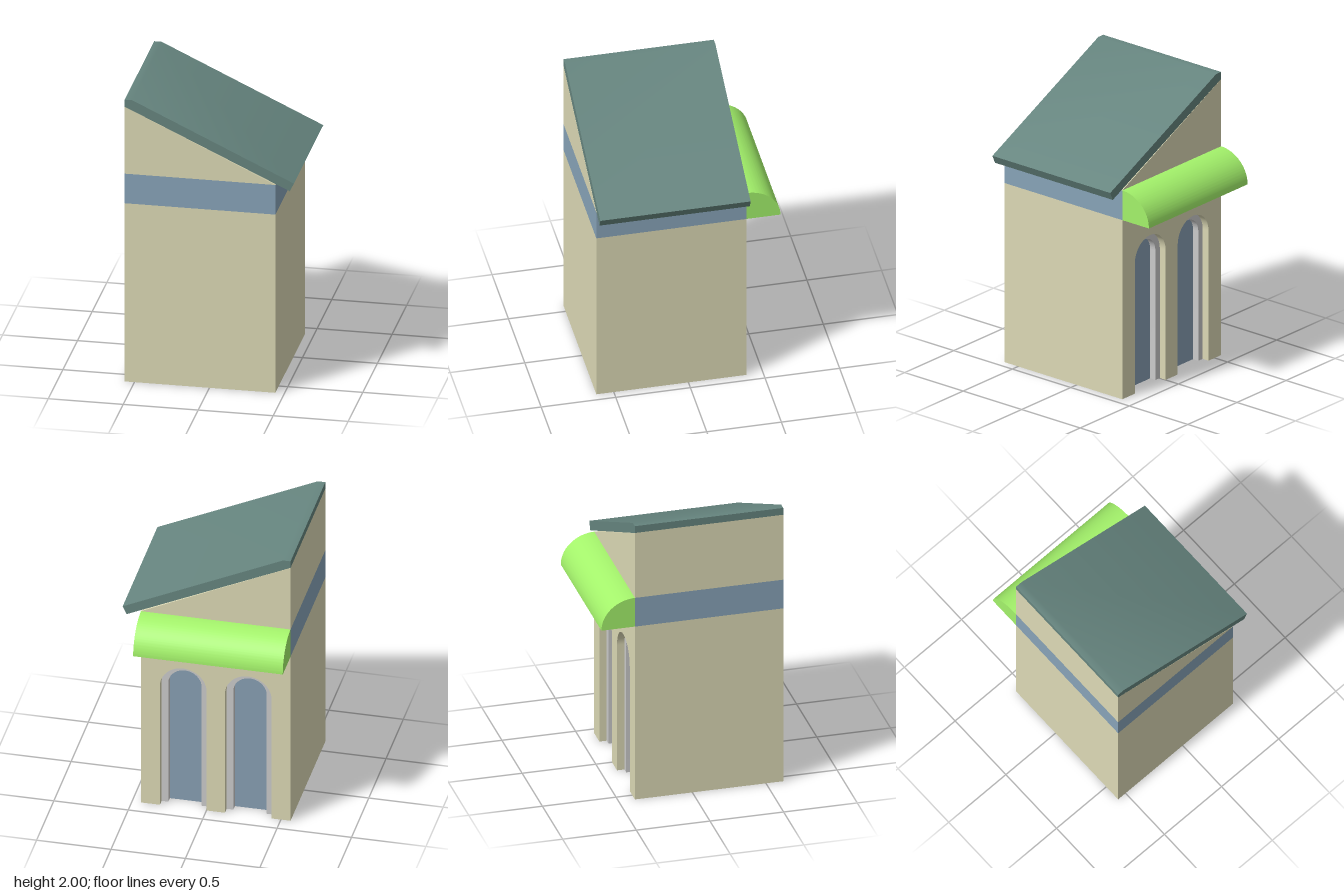
import * as THREE from 'three';
import { toCreasedNormals } from 'three/addons/utils/BufferGeometryUtils.js';

const X0 = -0.565, X1 = 0.44;            // side walls
const BACK = -0.39, FRONT = 0.617;       // back and front walls
const BAND_LOW = 1.265, BAND_TOP = 1.475;
const RECESS = 0.1, STEP = 0.05;         // depth of doorway and of its first step
const R = 0.157, FRAME = 0.045, SPRING = 0.915;
const DOORS = [-0.281, 0.156];           // doorway centres

const paint = (color) => new THREE.MeshStandardMaterial({ color });
const wallMat = paint(0xdcd9b5), bandMat = paint(0x87a3b8), roofMat = paint(0x66857f);
const awningMat = paint(0xa4f36b), doorMat = paint(0x879fb3), frameMat = paint(0xcccccc);

const polygon = (points) => new THREE.Shape(points.map(([x, y]) => new THREE.Vector2(x, y)));

// Extrudes a front-view outline from z0 to z1, smoothing only gentle curves
function slab(shape, z0, z1) {
  const geo = new THREE.ExtrudeGeometry(shape, { depth: z1 - z0, bevelEnabled: false, curveSegments: 24 });
  geo.translate(0, 0, z0);
  return toCreasedNormals(geo, 0.5);
}

// Round-headed door outline standing on the ground
function archShape(cx, r) {
  const s = new THREE.Shape();
  s.moveTo(cx - r, 0);
  s.lineTo(cx + r, 0);
  s.lineTo(cx + r, SPRING);
  s.absarc(cx, SPRING, r, 0, Math.PI, false);
  s.lineTo(cx - r, 0);
  return s;
}

// Adds a leg-and-arch edge, walked left to right over the opening
function traceArch(path, cx, r) {
  path.lineTo(cx - r, 0);
  path.lineTo(cx - r, SPRING);
  path.absarc(cx, SPRING, r, Math.PI, 0, true);
  path.lineTo(cx + r, 0);
}

export function createModel() {
  const model = new THREE.Group();
  const add = (name, geo, mat, parent = model) => {
    const mesh = new THREE.Mesh(geo, mat);
    mesh.name = name;
    parent.add(mesh);
  };
  const block = (z0, y0, y1) => new THREE.BoxGeometry(X1 - X0, y1 - y0, FRONT - z0)
    .translate((X0 + X1) / 2, (y0 + y1) / 2, (z0 + FRONT) / 2);

  // Main walls and the coloured band around them
  add('mainWalls', block(BACK + RECESS, 0, BAND_LOW), wallMat);
  add('band', block(BACK, BAND_LOW, BAND_TOP), bandMat);

  // Back wall with two arched openings cut up from the ground
  const back = new THREE.Shape();
  back.moveTo(X0, 0);
  DOORS.forEach((cx) => traceArch(back, cx, R));
  back.lineTo(X1, 0);
  back.lineTo(X1, BAND_LOW);
  back.lineTo(X0, BAND_LOW);
  add('backWall', slab(back, BACK, BACK + RECESS), wallMat);

  // Door panels with set-back arched frames
  DOORS.forEach((cx, i) => {
    const doorway = new THREE.Group();
    doorway.name = `doorway${i + 1}`;
    model.add(doorway);
    const frame = new THREE.Shape();
    frame.moveTo(cx - R, 0);
    traceArch(frame, cx, R - FRAME);
    frame.lineTo(cx + R, 0);
    frame.lineTo(cx + R, SPRING);
    frame.absarc(cx, SPRING, R, 0, Math.PI, false);
    add('doorFrame', slab(frame, BACK + STEP, BACK + RECESS), frameMat, doorway);
    add('doorPanel', slab(archShape(cx, R - FRAME), BACK + RECESS - 0.005, BACK + RECESS), doorMat, doorway);
  });

  // Sloping upper wall
  const gable = polygon([[X0, BAND_TOP], [X1, BAND_TOP], [X0, 1.95]]);
  add('upperWall', slab(gable, BACK, FRONT), wallMat);

  // Single-pitch roof, trimmed at the high side and overhanging the low side
  const roof = polygon([[X0, 1.95], [0.537, 1.438], [0.563, 1.495], [-0.515, 2], [X0, 2]]);
  add('roof', slab(roof, BACK, FRONT), roofMat);

  // Quarter-round awning over the doors
  const quarter = new THREE.Shape();
  quarter.moveTo(-BACK, BAND_LOW);
  quarter.lineTo(0.617, BAND_LOW);
  quarter.absellipse(-BACK, BAND_LOW, 0.617 + BACK, BAND_TOP - BAND_LOW, 0, Math.PI / 2, false, 0);
  add('awning', slab(quarter, X0, X1).rotateY(Math.PI / 2), awningMat);

  return model;
}
